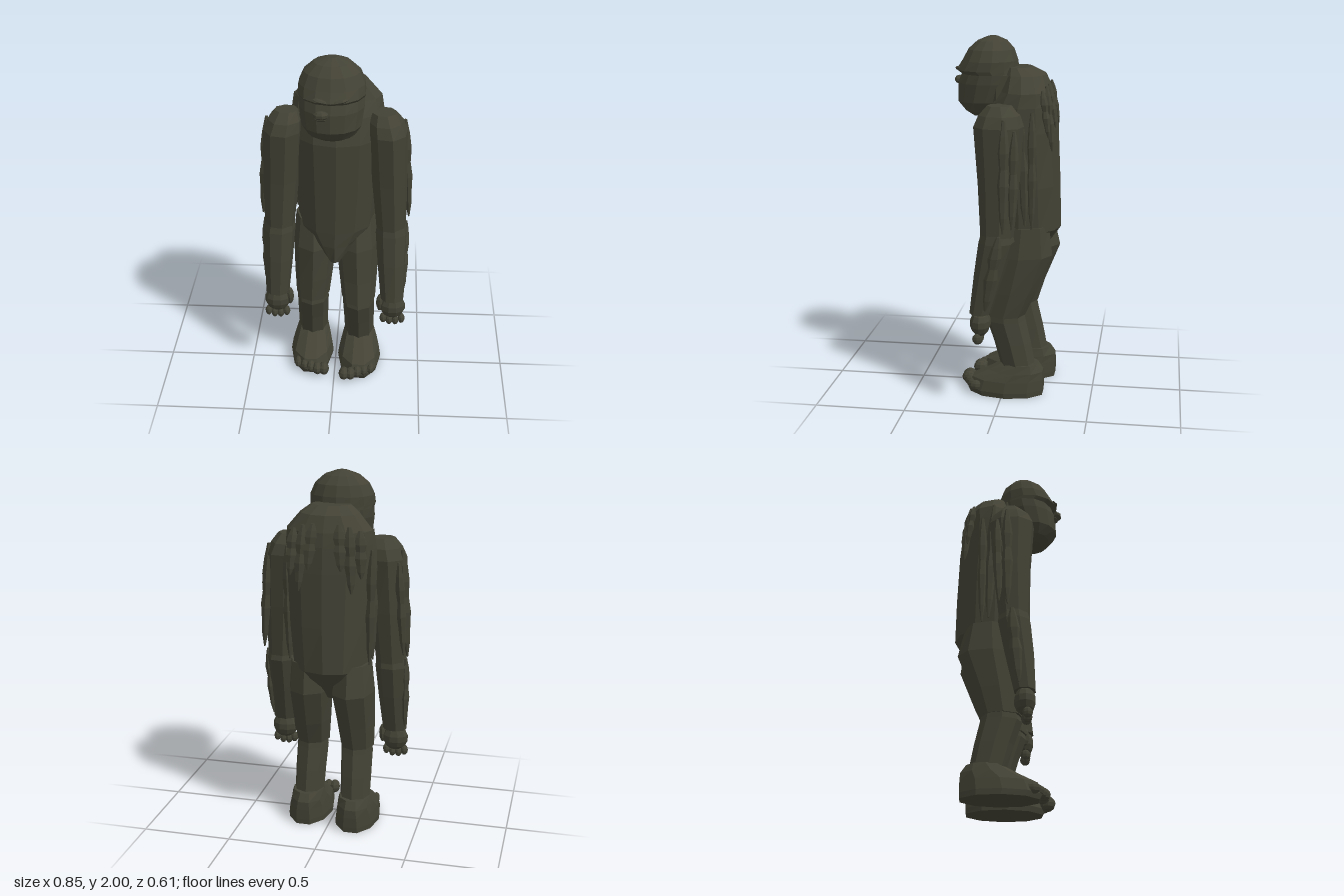
import * as THREE from 'three';

const fur = new THREE.MeshStandardMaterial({ color: 0x434235, flatShading: true });
fur.name = 'dark fur';

// Closed body from rings [y, centreX, frontZ, backZ, halfWidth], listed bottom to top
function loft(name, rings, sides, turn = 0) {
  const pos = [], index = [];
  for (const [y, cx, zf, zb, w] of rings) {
    for (let j = 0; j < sides; j++) {
      const a = ((j + turn) / sides) * Math.PI * 2;
      pos.push(cx + Math.sin(a) * w, y, (zf + zb) / 2 + Math.cos(a) * (zf - zb) / 2);
    }
  }
  const last = rings.length - 1;
  for (let i = 0; i < last; i++) {
    for (let j = 0; j < sides; j++) {
      const k = (j + 1) % sides, a = i * sides, b = a + sides;
      index.push(a + j, a + k, b + k, a + j, b + k, b + j);
    }
  }
  for (let j = 1; j < sides - 1; j++) {
    index.push(0, j + 1, j);
    index.push(last * sides, last * sides + j, last * sides + j + 1);
  }
  const g = new THREE.BufferGeometry();
  g.setAttribute('position', new THREE.Float32BufferAttribute(pos, 3));
  g.setIndex(index);
  g.computeVertexNormals();
  const mesh = new THREE.Mesh(g, fur);
  mesh.name = name;
  return mesh;
}

function blob(name, x, y, z, rx, ry, rz, w = 8, h = 6) {
  const mesh = new THREE.Mesh(new THREE.SphereGeometry(1, w, h), fur);
  mesh.name = name;
  mesh.position.set(x, y, z);
  mesh.scale.set(rx, ry, rz);
  return mesh;
}

// Knobbly lock of hair hanging between two points
function lock(name, top, bottom, r, depth = r) {
  const widths = [0.15, 0.65, 0.8, 1.05, 0.75, 1.05, 0.8, 0.3];
  const rings = widths.map((s, i) => {
    const t = i / (widths.length - 1);
    const p = bottom.map((v, k) => v + (top[k] - v) * t);
    return [p[1], p[0], p[2] + depth * s, p[2] - depth * s, r * s];
  });
  return loft(name, rings, 6);
}

function makeHead() {
  const head = new THREE.Group();
  head.name = 'head';
  const x = -0.012;
  head.add(loft('skull', [
    [1.57, x, 0.19, 0.11, 0.07], [1.597, x, 0.23, 0.05, 0.125], [1.65, x, 0.275, -0.01, 0.16],
    [1.75, x, 0.272, -0.06, 0.175], [1.80, x, 0.252, -0.065, 0.175], [1.82, x, 0.28, -0.065, 0.18],
    [1.87, x, 0.248, -0.06, 0.177], [1.93, x, 0.215, -0.04, 0.15], [1.975, x, 0.165, 0.0, 0.098],
    [2.0, x, 0.105, 0.055, 0.028],
  ], 14));
  // Face
  for (const s of [-1, 1]) {
    const brow = blob('brow', x + s * 0.045, 1.826, 0.255, 0.05, 0.012, 0.026, 6, 4);
    brow.rotation.z = s * 0.2;
    head.add(brow);
  }
  head.add(blob('nose', -0.06, 1.755, 0.275, 0.042, 0.024, 0.028, 7, 5));
  head.add(blob('lip', -0.06, 1.73, 0.262, 0.035, 0.014, 0.022, 6, 4));
  return head;
}

function makeArm(s) {
  const arm = new THREE.Group();
  arm.name = s > 0 ? 'leftArm' : 'rightArm';
  // The left arm swings a little further forward
  const dz = s > 0 ? 0 : -0.04;
  arm.add(loft('upperArm', [
    [0.96, s * 0.315, 0.10 + dz / 4, -0.08, 0.085], [1.25, s * 0.30, 0.115 + dz / 3, -0.11, 0.1],
    [1.55, s * 0.285, 0.14 + dz / 3, -0.13, 0.108], [1.61, s * 0.272, 0.115 + dz / 3, -0.11, 0.095],
    [1.66, s * 0.262, 0.07 + dz / 2, -0.06, 0.066],
  ], 8, 0.3));
  arm.add(loft('forearm', [
    [0.53, s * 0.332, 0.16 + dz, 0.04 + dz, 0.068], [0.75, s * 0.323, 0.135 + dz / 2, -0.03 + dz / 2, 0.082],
    [0.93, s * 0.318, 0.11 + dz / 4, -0.085, 0.092], [1.0, s * 0.315, 0.09 + dz / 4, -0.07, 0.08],
  ], 8, 0.3));
  // Hand
  arm.add(blob('hand', s * 0.335, 0.475, 0.1 + dz, 0.075, 0.075, 0.058, 10, 7));
  for (let i = 0; i < 4; i++) {
    const y = i === 0 || i === 3 ? 0.395 : 0.383;
    arm.add(blob('finger', s * (0.283 + i * 0.035), y, 0.11 + dz, 0.021, 0.03, 0.027));
  }
  arm.add(blob('thumb', s * 0.262, 0.495, 0.1 + dz, 0.022, 0.055, 0.028));
  // Hair on the outside of the arm
  arm.add(lock('armHair', [s * 0.375, 1.6, -0.035], [s * 0.412, 1.0, -0.035], 0.03, 0.03));
  arm.add(lock('armHair', [s * 0.365, 1.54, -0.09], [s * 0.398, 1.02, -0.08], 0.026));
  arm.add(lock('forearmHair', [s * 0.4, 0.98, -0.01], [s * 0.395, 0.56, 0.065 + dz], 0.022, 0.035));
  return arm;
}

function makeLeg(s) {
  const leg = new THREE.Group();
  leg.name = s > 0 ? 'leftLeg' : 'rightLeg';
  // The right leg stands a little further back
  const dz = s > 0 ? 0 : -0.04;
  leg.add(loft('thigh', [
    [0.46, s * 0.135, 0.105 + dz, -0.12 + dz, 0.097], [0.6, s * 0.13, 0.09 + dz / 2, -0.185 + dz / 2, 0.11],
    [0.81, s * 0.122, 0.08, -0.27 + dz / 2, 0.125], [0.98, s * 0.12, 0.03, -0.25, 0.11],
  ], 8));
  leg.add(loft('shin', [
    [0.14, s * 0.14, 0.01 + dz, -0.185 + dz, 0.085], [0.3, s * 0.138, 0.055 + dz, -0.155 + dz, 0.089],
    [0.43, s * 0.135, 0.1 + dz, -0.125 + dz, 0.092], [0.5, s * 0.135, 0.085 + dz, -0.11 + dz, 0.088],
  ], 8));
  // Foot
  leg.add(loft('foot', [
    [0, s * 0.143, 0.195 + dz, -0.235 + dz, 0.125], [0.03, s * 0.143, 0.21 + dz, -0.238 + dz, 0.128],
    [0.09, s * 0.143, 0.185 + dz, -0.238 + dz, 0.118], [0.135, s * 0.142, 0.09 + dz, -0.232 + dz, 0.103],
    [0.18, s * 0.14, 0.005 + dz, -0.2 + dz, 0.088],
  ], 10, 0.5));
  for (let i = 0; i < 5; i++) {
    const r = 0.031 - i * 0.002;
    leg.add(blob('toe', s * (0.06 + i * 0.039), 0.05, 0.207 + dz - Math.max(0, i - 1) * 0.02, r, r + 0.008, 0.042));
  }
  return leg;
}

export function createModel() {
  const model = new THREE.Group();
  model.name = 'ape';
  // Torso with humped shoulders
  model.add(loft('torso', [
    [0.76, 0, 0.11, -0.15, 0.05], [0.86, 0, 0.115, -0.24, 0.135], [0.95, 0.003, 0.115, -0.305, 0.215],
    [1.2, 0.008, 0.118, -0.3, 0.235], [1.5, 0.01, 0.125, -0.287, 0.25], [1.64, 0.01, 0.09, -0.272, 0.25],
    [1.715, 0.01, 0.04, -0.258, 0.237], [1.80, 0.01, 0.02, -0.22, 0.165], [1.84, 0.01, 0.0, -0.14, 0.11],
  ], 12));
  model.add(loft('neck', [[1.58, 0, 0.11, -0.1, 0.16], [1.8, 0, 0.12, -0.1, 0.14]], 10));
  model.add(makeHead());
  for (const s of [-1, 1]) {
    model.add(makeArm(s), makeLeg(s));
    // Hair on the back and flanks
    model.add(lock('backHair', [s * 0.07, 1.76, -0.238], [s * 0.09, 1.52, -0.277], 0.036, 0.016));
    model.add(lock('backHair', [s * 0.125, 1.75, -0.23], [s * 0.145, 1.4, -0.265], 0.034, 0.022));
    model.add(lock('backHair', [s * 0.18, 1.73, -0.215], [s * 0.195, 1.48, -0.25], 0.034, 0.02));
    model.add(lock('flankHair', [s * 0.222, 1.72, -0.1], [s * 0.235, 1.0, -0.13], 0.03, 0.03));
    model.add(lock('flankHair', [s * 0.235, 1.62, -0.165], [s * 0.225, 0.98, -0.165], 0.028, 0.025));
  }
  return model;
}
